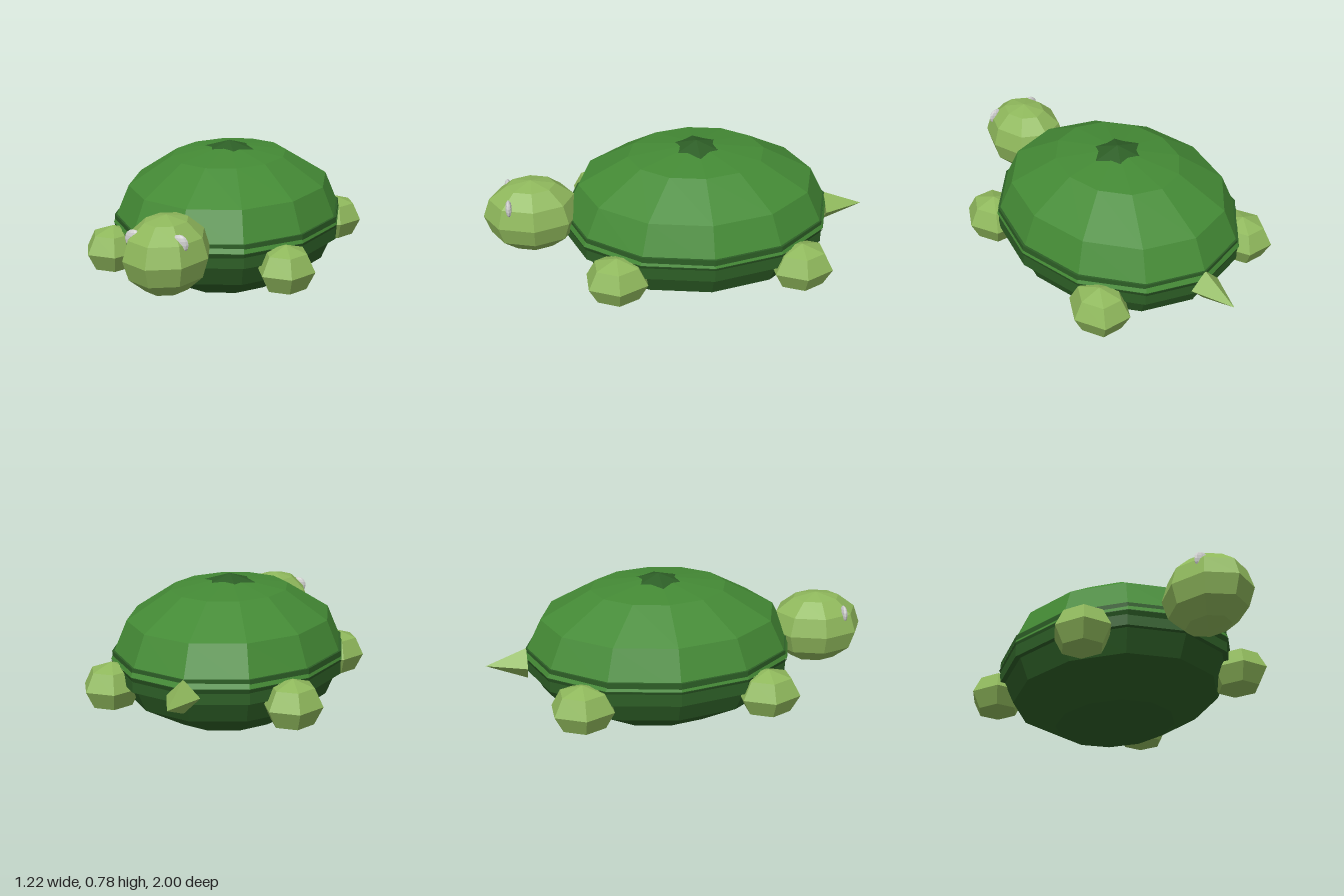
import * as THREE from 'three';

const paint = (color) => new THREE.MeshStandardMaterial({ color, flatShading: true });

export function createModel() {
  const model = new THREE.Group();
  const shellGreen = paint(0x448a35);
  const darkGreen = paint(0x2d5e26);
  const skin = paint(0x8fb85c);
  const white = paint(0xf2f2f2);

  function add(name, geometry, material, position, scale = [1, 1, 1]) {
    const mesh = new THREE.Mesh(geometry, material);
    mesh.name = name;
    mesh.position.set(...position);
    mesh.scale.set(...scale);
    model.add(mesh);
    return mesh;
  }

  // Domed shell over a darker belly, joined by a rim band
  const half = (start) => new THREE.SphereGeometry(1, 12, 3, 0, Math.PI * 2, start, Math.PI / 2);
  add('shell', half(0), shellGreen, [0, 0.378, -0.1], [0.59, 0.385, 0.705]);
  add('belly', half(Math.PI / 2), darkGreen, [0, 0.375, -0.1], [0.59, 0.372, 0.705]);
  add('shellRim', new THREE.CylinderGeometry(1, 1, 0.12, 12), darkGreen, [0, 0.36, -0.1], [0.585, 1, 0.693]);

  // Six-sided cap on top of the shell, corners on the x axis
  const cap = new THREE.ConeGeometry(0.17, 0.051, 6).rotateY(Math.PI / 6);
  add('shellCap', cap, darkGreen, [0, 0.7545, -0.1]);

  // Head and eyes
  add('head', new THREE.SphereGeometry(1, 8, 6), skin, [0, 0.425, 0.75], [0.205, 0.19, 0.25]);
  for (const side of [1, -1]) {
    const name = side > 0 ? 'Left' : 'Right';
    add('eye' + name, new THREE.SphereGeometry(1, 10, 8), white, [side * 0.113, 0.52, 0.868], [0.043, 0.045, 0.018]);

    // Stubby feet
    for (const [end, z] of [['front', 0.365], ['back', -0.56]]) {
      add(end + 'Foot' + name, new THREE.SphereGeometry(1, 6, 4), skin, [side * 0.46, 0.275, z], [0.148, 0.125, 0.167]);
    }
  }

  // Four-sided tail pointing backwards
  const tail = new THREE.ConeGeometry(0.083, 0.21, 4).rotateX(-Math.PI / 2);
  add('tail', tail, skin, [0, 0.338, -0.895]);

  return model;
}
